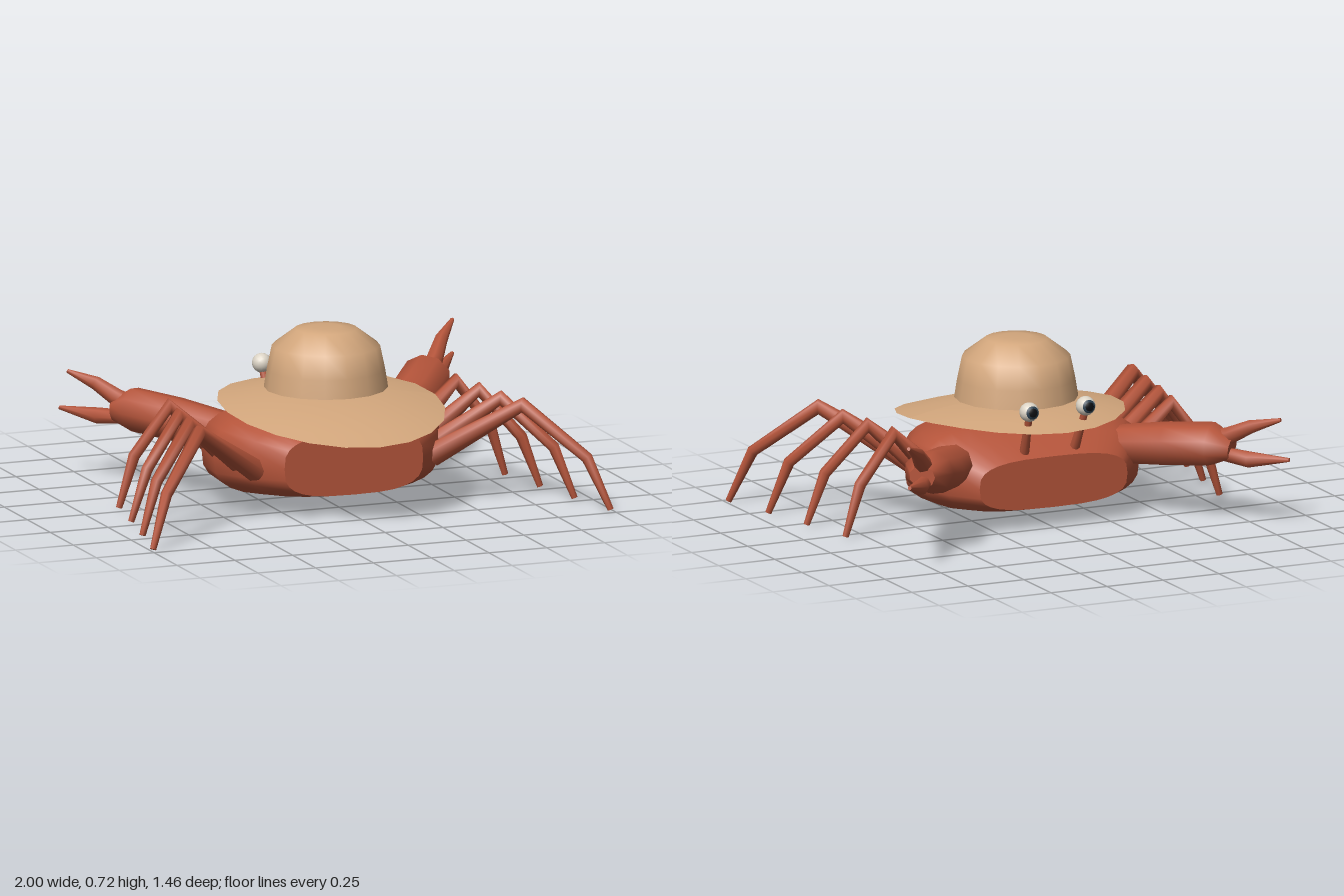
import * as THREE from 'three';

const V = (x, y, z) => new THREE.Vector3(x, y, z);
const mat = (name, color, side = THREE.FrontSide) => {
  const m = new THREE.MeshStandardMaterial({ color, side });
  m.name = name;
  return m;
};

// Skin closed rings of points, with separate end caps for crisp edges
function loft(rings) {
  const n = rings[0].length, pos = [], idx = [];
  rings.forEach(r => r.forEach(p => pos.push(p.x, p.y, p.z)));
  for (let i = 0; i < rings.length - 1; i++) {
    for (let j = 0; j < n; j++) {
      const k = (j + 1) % n, a = i * n + j, b = i * n + k;
      idx.push(a, b, b + n, a, b + n, a + n);
    }
  }
  [rings[0], rings[rings.length - 1]].forEach((ring, end) => {
    const base = pos.length / 3, c = V(0, 0, 0);
    ring.forEach(p => { pos.push(p.x, p.y, p.z); c.addScaledVector(p, 1 / n); });
    pos.push(c.x, c.y, c.z);
    for (let j = 0; j < n; j++) {
      const k = (j + 1) % n;
      if (end) idx.push(base + n, base + j, base + k);
      else idx.push(base + n, base + k, base + j);
    }
  });
  const g = new THREE.BufferGeometry();
  g.setAttribute('position', new THREE.Float32BufferAttribute(pos, 3));
  g.setIndex(idx);
  g.computeVertexNormals();
  return g;
}

// Tapered limb through points [x, y, z, radius]
function limb(path, sides, flat = 1) {
  const pts = path.map(p => V(p[0], p[1], p[2]));
  return loft(pts.map((c, i) => {
    const t = V(0, 0, 0);
    if (i > 0) t.add(c.clone().sub(pts[i - 1]).normalize());
    if (i < pts.length - 1) t.add(pts[i + 1].clone().sub(c).normalize());
    t.normalize();
    const u = V(0, 1, 0).cross(t).normalize(), v = t.clone().cross(u);
    return Array.from({ length: sides }, (_, j) => {
      const a = j / sides * Math.PI * 2, r = path[i][3];
      return c.clone().addScaledVector(u, Math.cos(a) * r).addScaledVector(v, Math.sin(a) * r * flat);
    });
  }));
}

// Shell sections: z, half width, bottom, top
function bodyGeometry() {
  const sections = [
    [-0.24, 0.33, 0.09, 0.30], [-0.14, 0.43, 0.065, 0.37], [-0.03, 0.485, 0.05, 0.415],
    [0.12, 0.49, 0.045, 0.41], [0.30, 0.41, 0.07, 0.385], [0.41, 0.30, 0.092, 0.348],
  ];
  const soft = c => Math.sign(c) * Math.abs(c) ** 0.65;
  return loft(sections.map(([z, w, lo, hi]) => Array.from({ length: 28 }, (_, j) => {
    const a = j / 28 * Math.PI * 2;
    return V(w * soft(Math.cos(a)), (lo + hi) / 2 + (hi - lo) / 2 * soft(Math.sin(a)), z);
  })));
}

// Drooping oval brim
function brimGeometry() {
  const g = new THREE.RingGeometry(0.001, 1, 20, 6);
  g.rotateX(-Math.PI / 2);
  const p = g.attributes.position;
  for (let i = 0; i < p.count; i++) {
    const x = p.getX(i) * 0.45, z = 0.163 + p.getZ(i) * 0.53;
    p.setXYZ(i, x, 0.475 - (z > 0 ? 0.27 : 0.385) * z * z - 0.25 * x * x, z);
  }
  g.computeVertexNormals();
  return g;
}

export function createModel() {
  const model = new THREE.Group();
  const shell = mat('crab red', 0xb4543a);
  const straw = mat('straw tan', 0xd2a67c, THREE.DoubleSide);
  const white = mat('eye ivory', 0xdcd4c6);
  const iris = mat('iris navy', 0x2a3f4f);
  const black = mat('pupil black', 0x0c0e12);
  const add = (name, geo, m, parent = model) => {
    const mesh = new THREE.Mesh(geo, m);
    mesh.name = name;
    parent.add(mesh);
    return mesh;
  };

  add('body', bodyGeometry(), shell);

  // Hat
  add('hatBrim', brimGeometry(), straw);
  const profile = [[0.25, 0.474], [0.238, 0.55], [0.218, 0.645], [0.125, 0.715], [0.06, 0.722], [0, 0.722]];
  const crown = new THREE.LatheGeometry(profile.map(([r, y]) => new THREE.Vector2(r, y)), 16);
  add('hatCrown', crown, straw).position.z = 0.106;

  for (const s of [1, -1]) {
    const side = s > 0 ? 'left' : 'right';

    // Four walking legs, back to front: root, knee, shin, tip
    const legs = [
      [[0.38, 0.20, 0.30], [0.70, 0.42, 0.485], [0.91, 0.22, 0.66], [0.99, 0.012, 0.715]],
      [[0.39, 0.20, 0.20], [0.675, 0.415, 0.31], [0.86, 0.22, 0.425], [0.935, 0.012, 0.46]],
      [[0.40, 0.20, 0.09], [0.65, 0.415, 0.135], [0.81, 0.22, 0.195], [0.885, 0.012, 0.21]],
      [[0.40, 0.20, -0.03], [0.62, 0.415, -0.04], [0.77, 0.22, -0.045], [0.835, 0.012, -0.045]],
    ];
    legs.forEach((pts, i) => {
      const r = [0.048, 0.032, 0.024, 0.013];
      add(`${side}Leg${i + 1}`, limb(pts.map((p, k) => [s * p[0], p[1], p[2], r[k]]), 7), shell);
    });

    // Claw: the right one is a little smaller and held lower
    const claw = new THREE.Group();
    claw.name = `${side}Claw`;
    model.add(claw);
    const pose = path => path.map(([x, y, z, r]) => s > 0 ? [x, y, z, r] :
      [-x * 0.955, y - 0.17 * Math.max(0, -z - 0.3), z * 0.94, r]);
    add('palm', limb(pose([
      [0.34, 0.275, -0.04, 0.08], [0.41, 0.285, -0.13, 0.095], [0.53, 0.305, -0.285, 0.105],
      [0.655, 0.348, -0.445, 0.105], [0.715, 0.347, -0.505, 0.055],
    ]), 9, 0.85), shell, claw);
    add('upperFinger', limb(pose([
      [0.65, 0.36, -0.42, 0.034], [0.71, 0.40, -0.50, 0.036],
      [0.77, 0.46, -0.58, 0.028], [0.86, 0.515, -0.68, 0.008],
    ]), 7), shell, claw);
    add('lowerFinger', limb(pose([
      [0.67, 0.315, -0.45, 0.028], [0.76, 0.325, -0.58, 0.034], [0.878, 0.365, -0.727, 0.008],
    ]), 7), shell, claw);

    // Stalked eye looking forward
    add(`${side}EyeStalk`, limb([[s * 0.11, 0.29, -0.19, 0.022], [s * 0.125, 0.48, -0.272, 0.014]], 7), shell);
    const eye = new THREE.Group();
    eye.name = `${side}Eye`;
    eye.position.set(s * 0.126, 0.503, -0.275);
    eye.rotation.set(-Math.PI / 2 + 0.1, 0, 0);
    model.add(eye);
    const cap = (r, a) => new THREE.SphereGeometry(r, 16, 8, 0, Math.PI * 2, 0, a);
    add('eyeball', new THREE.SphereGeometry(0.04, 16, 12), white, eye);
    add('iris', cap(0.0412, 0.72), iris, eye);
    add('pupil', cap(0.0422, 0.45), black, eye);
  }
  return model;
}
